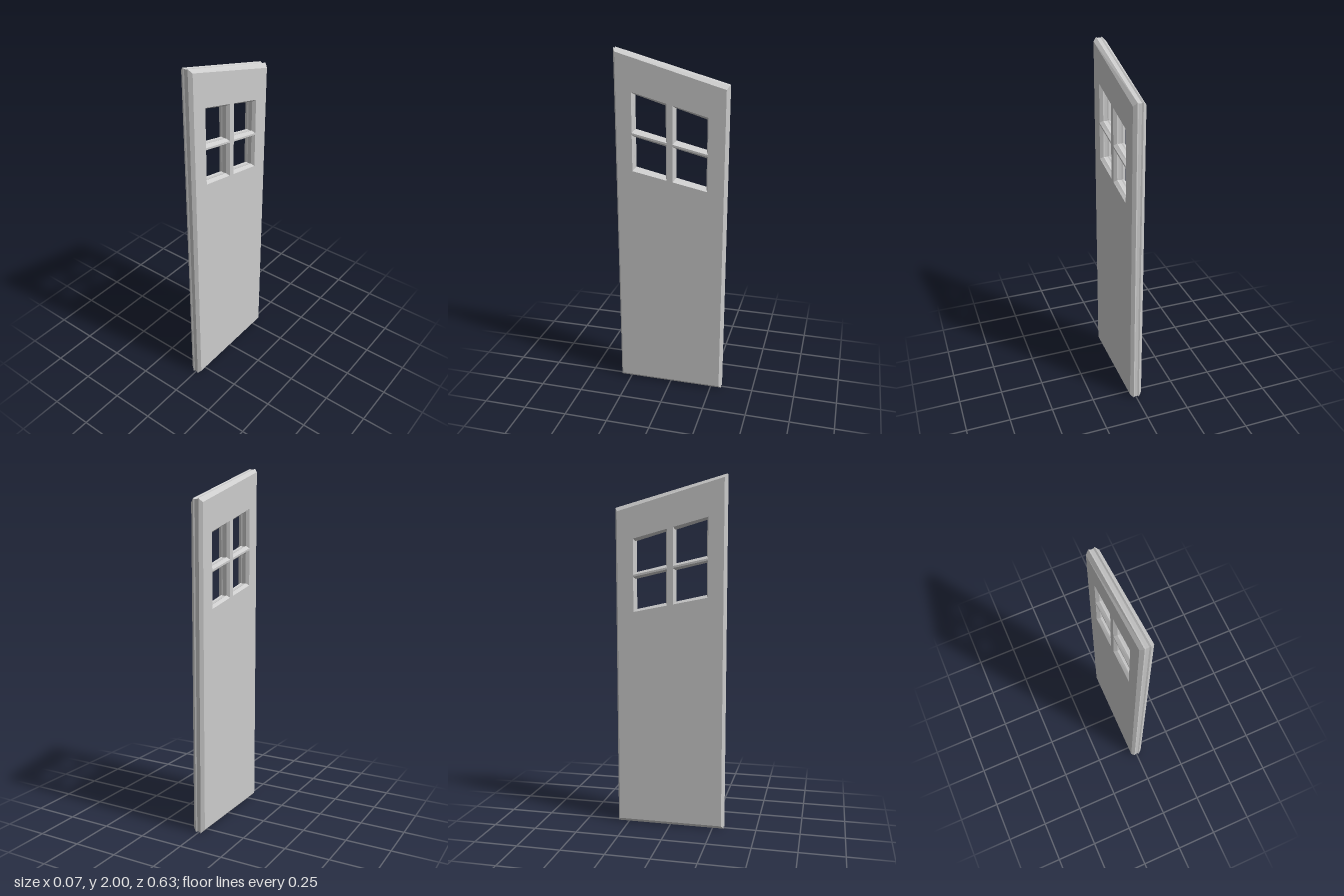
import * as THREE from 'three';

const HALF = 0.035;
// Edge section across the thickness: [x, amount of flare], bevel - groove - bevel
const EDGE = [[-HALF, 0], [-0.016, 1], [-0.008, 0.75], [0.008, 0.75], [0.016, 1], [HALF, 0]];
const SIGNS = [[1, -1], [-1, -1], [-1, 1], [1, 1]];

// Slanted four-cornered outline as [z, y]: front-bottom, back-bottom, back-top, front-top
const quad = (zF, zB, botF, botB, topF, topB) => [[zF, botF], [zB, botB], [zB, topB], [zF, topF]];

const outline = quad(0.302, -0.302, 0.02, 0.02, 1.98, 1.806);

// Window panes: two columns by two rows, each row bounded by slanted lines
const lineY = (a, b) => z => a + (b - a) * (0.215 - z) / 0.425;
const rows = [
  [lineY(1.334, 1.247), lineY(1.538, 1.445)],
  [lineY(1.549, 1.456), lineY(1.772, 1.656)],
];
const columns = [[0.215, 0.019], [-0.015, -0.21]];
const panes = [];
for (const [bottom, top] of rows) {
  for (const [zF, zB] of columns) {
    panes.push(quad(zF, zB, bottom(zF), bottom(zB), top(zF), top(zB)));
  }
}

// Sweeps the edge section round an outline; dz and dy are the flare (negative flares inward)
function edgeBand(corners, dz, dy, inward) {
  const at = (i, [x, k]) => {
    const [z, y] = corners[i % 4], [sz, sy] = SIGNS[i % 4];
    return [x, y + sy * dy * k, z + sz * dz * k];
  };
  const pos = [];
  for (let i = 0; i < 4; i++) {
    for (let j = 0; j < EDGE.length - 1; j++) {
      let a = at(i, EDGE[j]), b = at(i + 1, EDGE[j]);
      let c = at(i + 1, EDGE[j + 1]), d = at(i, EDGE[j + 1]);
      if (inward) [a, b, c, d] = [b, a, d, c];
      pos.push(...a, ...b, ...c, ...a, ...c, ...d);
    }
  }
  const geo = new THREE.BufferGeometry();
  geo.setAttribute('position', new THREE.Float32BufferAttribute(pos, 3));
  geo.computeVertexNormals();
  return geo;
}

// Flat side of the panel with the pane openings cut out
function panelFace(side) {
  const points = q => q.map(([z, y]) => new THREE.Vector2(-side * z, y));
  const shape = new THREE.Shape(points(outline));
  shape.holes = panes.map(q => new THREE.Path(points(q)));
  return new THREE.ShapeGeometry(shape)
    .rotateY(side * Math.PI / 2)
    .translate(side * HALF, 0, 0);
}

export function createModel() {
  const group = new THREE.Group();
  group.name = 'slantedWindowPanel';
  const material = new THREE.MeshStandardMaterial({ color: 0xcccccc, flatShading: true });
  const add = (name, geo) => {
    const mesh = new THREE.Mesh(geo, material);
    mesh.name = name;
    group.add(mesh);
  };

  add('leftFace', panelFace(1));
  add('rightFace', panelFace(-1));
  add('outerEdge', edgeBand(outline, 0.013, 0.02, false));
  panes.forEach((q, i) => add('paneFrame' + (i + 1), edgeBand(q, -0.009, -0.013, true)));
  return group;
}
